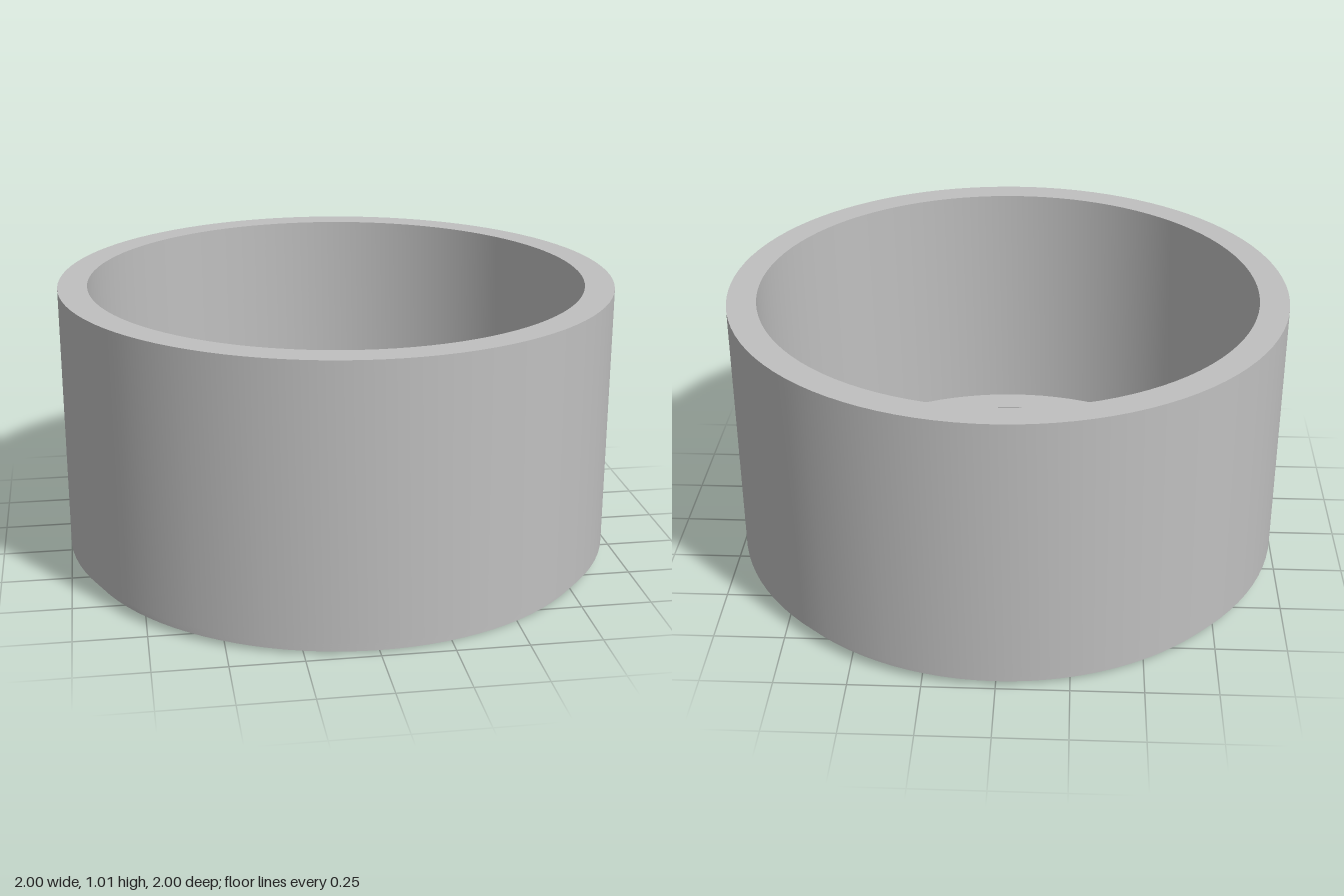
import * as THREE from 'three';
import { toCreasedNormals } from 'three/addons/utils/BufferGeometryUtils.js';

export function createModel() {
  const model = new THREE.Group();
  model.name = 'roundCap';
  const grey = new THREE.MeshStandardMaterial({ color: 0xc0c0c0 });
  grey.name = 'plain grey';

  const height = 1.015, innerRadius = 0.895, floorY = 0.1;
  const steps = 4, stepHeight = 0.012;

  const add = (name, geometry) => {
    const mesh = new THREE.Mesh(toCreasedNormals(geometry, 0.5), grey);
    mesh.name = name;
    model.add(mesh);
    return mesh;
  };

  // Cup: closed profile with a terraced bottom edge, flat rim and inner floor
  const profile = [new THREE.Vector2(0, 0)];
  for (let i = 0; i < steps; i++) {
    const r = 0.96 + i * 0.01;
    profile.push(new THREE.Vector2(r, i * stepHeight), new THREE.Vector2(r, (i + 1) * stepHeight));
  }
  profile.push(
    new THREE.Vector2(1, steps * stepHeight),
    new THREE.Vector2(1, height),
    new THREE.Vector2(innerRadius, height),
    new THREE.Vector2(innerRadius, floorY),
    new THREE.Vector2(0, floorY)
  );
  add('cup', new THREE.LatheGeometry(profile, 100));

  // Stem: round post on the floor with a cross-shaped socket
  const stemShape = new THREE.Shape().absarc(0, 0, 0.187, 0, Math.PI * 2, false);
  const a = 0.045, b = 0.142;
  const cross = [
    [a, b], [a, a], [b, a], [b, -a], [a, -a], [a, -b],
    [-a, -b], [-a, -a], [-b, -a], [-b, a], [-a, a], [-a, b],
  ].map(([x, y]) => new THREE.Vector2(x, y));
  stemShape.holes.push(new THREE.Path(cross));
  const stem = new THREE.ExtrudeGeometry(stemShape, { depth: 0.35, bevelEnabled: false, curveSegments: 48 });
  stem.rotateX(-Math.PI / 2);
  add('stem', stem).position.y = floorY;

  return model;
}
